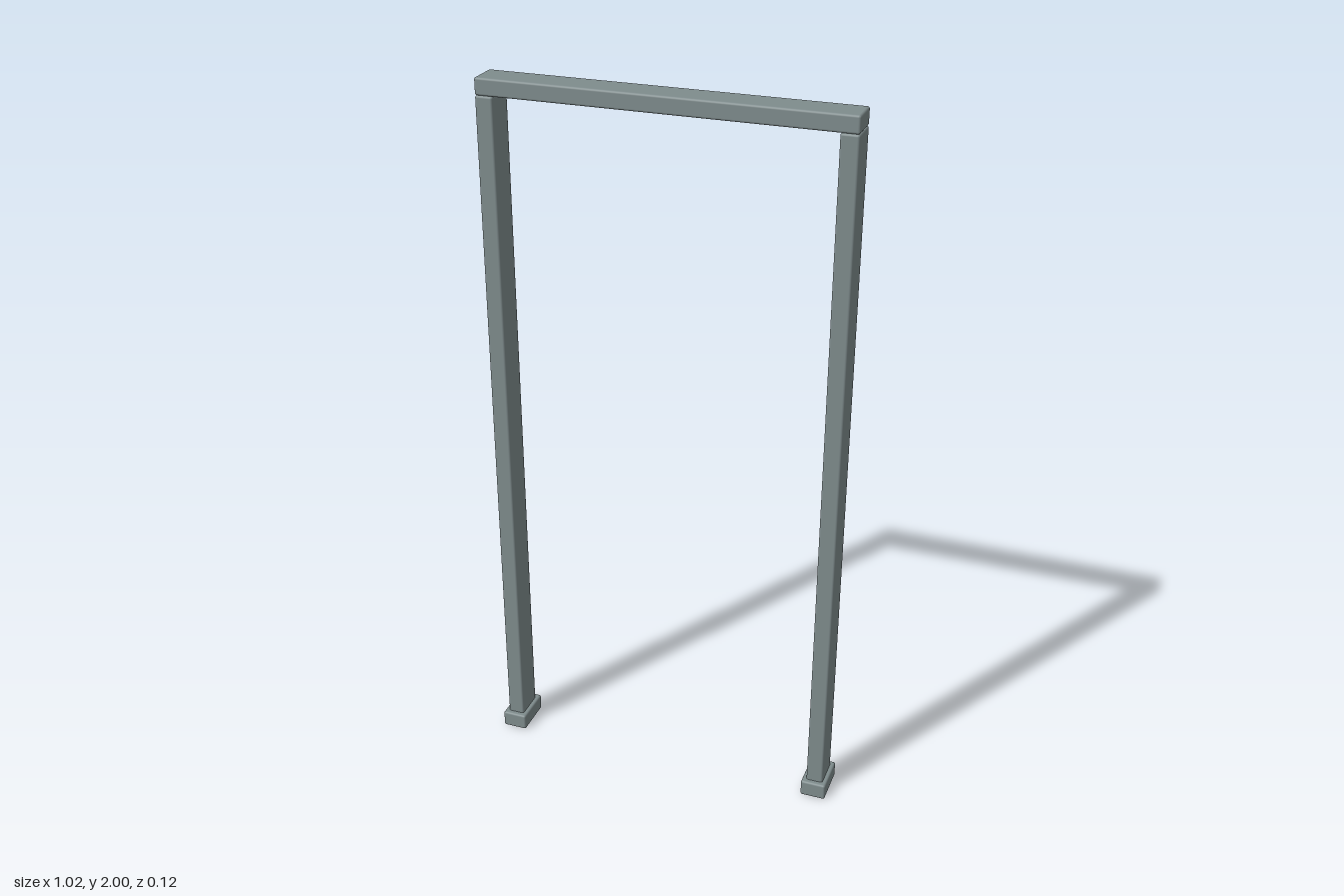
import * as THREE from 'three';
import { RoundedBoxGeometry } from 'three/addons/geometries/RoundedBoxGeometry.js';

const BEVEL = 0.006;

export function createModel() {
  const model = new THREE.Group();
  model.name = 'doorFrame';
  const greyMetal = new THREE.MeshStandardMaterial({ color: 0x7f8c8d });
  greyMetal.name = 'greyMetal';

  // Bar with softly bevelled edges, placed by its centre x and its bottom
  function bar(name, width, height, depth, x, bottom) {
    const mesh = new THREE.Mesh(new RoundedBoxGeometry(width, height, depth, 2, BEVEL), greyMetal);
    mesh.name = name;
    mesh.position.set(x, bottom + height / 2, 0);
    model.add(mesh);
  }

  // Upright posts standing on wider feet
  for (const [side, sign] of [['left', 1], ['right', -1]]) {
    bar(side + 'Foot', 0.072, 0.048, 0.12, sign * 0.472, 0);
    bar(side + 'Post', 0.048, 1.912, 0.09, sign * 0.472, 0.042);
  }

  // Crossbeam resting on the posts
  bar('crossbeam', 0.992, 0.046, 0.09, 0, 1.954);

  return model;
}
